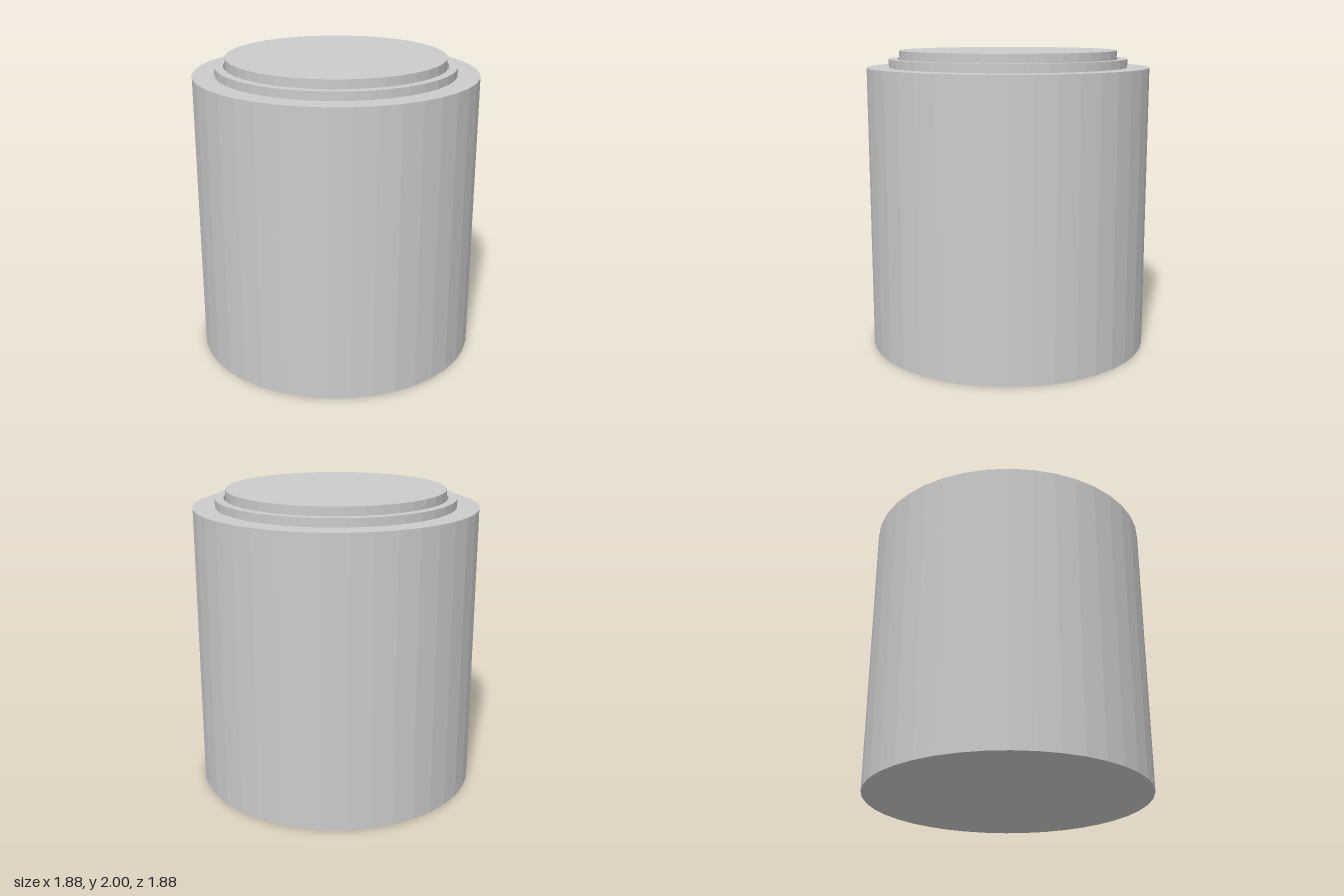
import * as THREE from 'three';

const SIDES = 40;
const BODY_TOP = 1.89;

export function createModel() {
  const group = new THREE.Group();
  const material = new THREE.MeshStandardMaterial({ color: 0xcccccc, flatShading: true });

  const add = (name, geometry) => {
    const mesh = new THREE.Mesh(geometry, material);
    mesh.name = name;
    group.add(mesh);
  };

  // Upright disc or drum between two heights
  const drum = (radius, bottom, top) =>
    new THREE.CylinderGeometry(radius, radius, top - bottom, SIDES)
      .translate(0, (bottom + top) / 2, 0);

  // Main drum
  add('body', drum(0.94, 0, BODY_TOP));

  // Raised collar, open in the middle
  const collarProfile = [
    [0.795, BODY_TOP], [0.795, 1.945], [0.737, 1.945], [0.737, BODY_TOP],
  ].map(([r, y]) => new THREE.Vector2(r, y));
  add('collar', new THREE.LatheGeometry(collarProfile, SIDES));

  // Button cap standing inside the collar with a narrow gap
  add('cap', drum(0.725, BODY_TOP, 2));

  return group;
}
